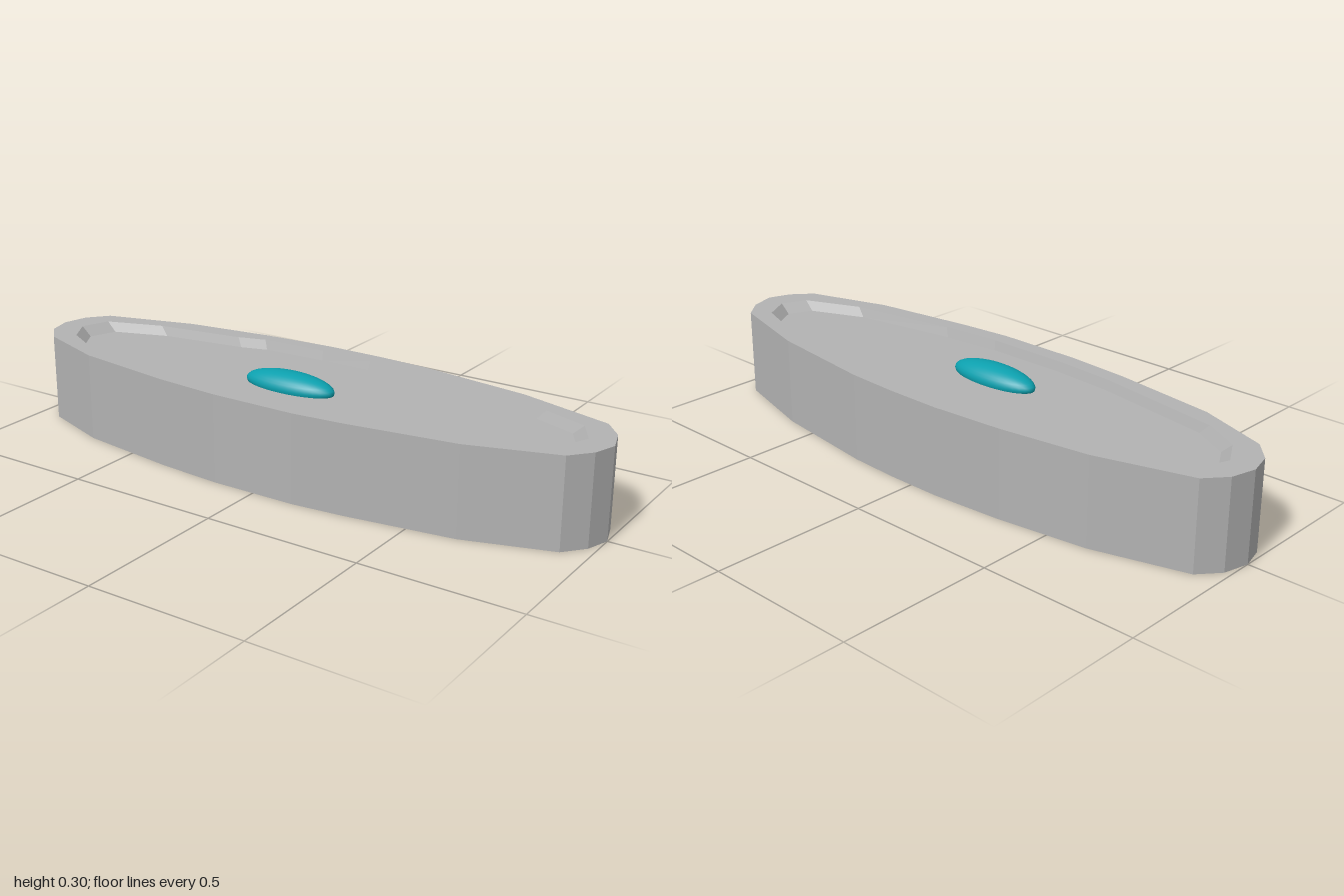
import * as THREE from 'three';

const HEIGHT = 0.283, FLOOR = 0.253;

// Outlines seen from above as [x, z], running from -x round the back to +x and home along the front
const OUTER = [
  [-1, 0], [-0.98, -0.08], [-0.925, -0.145], [-0.63, -0.23], [-0.34, -0.27], [-0.1, -0.288],
  [0.08, -0.288], [0.25, -0.28], [0.62, -0.23], [0.92, -0.145], [0.975, -0.08], [1, 0],
  [0.975, 0.072], [0.92, 0.136], [0.65, 0.222], [0.31, 0.27], [0.14, 0.286], [-0.14, 0.286],
  [-0.35, 0.27], [-0.69, 0.222], [-0.92, 0.14], [-0.98, 0.075],
];
const INNER = [
  [-0.92, 0], [-0.885, -0.09], [-0.7, -0.155], [-0.41, -0.2], [-0.32, -0.227], [-0.1, -0.238],
  [0.08, -0.238], [0.28, -0.227], [0.45, -0.202], [0.73, -0.145], [0.87, -0.095], [0.92, -0.01],
  [0.885, 0.07], [0.7, 0.15], [0.34, 0.213], [0.14, 0.232], [-0.14, 0.232],
  [-0.34, 0.217], [-0.75, 0.15], [-0.87, 0.085],
];
const FLOOR_RING = INNER.map(([x, z]) => [x * 0.963, z * 0.963]);

const vectors = (ring, sign) => ring.map(([x, z]) => new THREE.Vector2(x, sign * z));

// Flat horizontal face, facing up or down, with an optional hole
function cap(ring, y, up, hole) {
  const sign = up ? -1 : 1;
  const shape = new THREE.Shape(vectors(ring, sign));
  if (hole) shape.holes.push(new THREE.Path(vectors(hole, sign)));
  return new THREE.ShapeGeometry(shape).rotateX((sign * Math.PI) / 2).translate(0, y, 0);
}

// Wall joining two rings with the same number of points
function wall(ringA, yA, ringB, yB) {
  const positions = [];
  ringA.forEach((p, i) => {
    const j = (i + 1) % ringA.length;
    const a = [p[0], yA, p[1]], b = [ringA[j][0], yA, ringA[j][1]];
    const c = [ringB[j][0], yB, ringB[j][1]], d = [ringB[i][0], yB, ringB[i][1]];
    positions.push(...a, ...b, ...c, ...a, ...c, ...d);
  });
  const geometry = new THREE.BufferGeometry();
  geometry.setAttribute('position', new THREE.Float32BufferAttribute(positions, 3));
  geometry.computeVertexNormals();
  return geometry;
}

export function createModel() {
  const model = new THREE.Group();
  const grey = new THREE.MeshStandardMaterial({ color: 0xb2b2b2 });
  grey.name = 'grey';
  const teal = new THREE.MeshStandardMaterial({ color: 0x0ca0ae });
  teal.name = 'teal';

  const add = (name, geometry, material) => {
    const mesh = new THREE.Mesh(geometry, material);
    mesh.name = name;
    model.add(mesh);
    return mesh;
  };

  // Tray body with a shallow sloped recess
  add('outerWall', wall(OUTER, HEIGHT, OUTER, 0), grey);
  add('base', cap(OUTER, 0, false), grey);
  add('rim', cap(OUTER, HEIGHT, true, INNER), grey);
  add('recessWall', wall(FLOOR_RING, FLOOR, INNER, HEIGHT), grey);
  add('recessFloor', cap(FLOOR_RING, FLOOR, true), grey);

  // Oval button set into the floor
  const button = add('ovalButton', new THREE.SphereGeometry(1, 32, 16), teal);
  button.scale.set(0.158, 0.042, 0.06);
  button.position.set(-0.035, 0.262, 0.04);

  return model;
}
